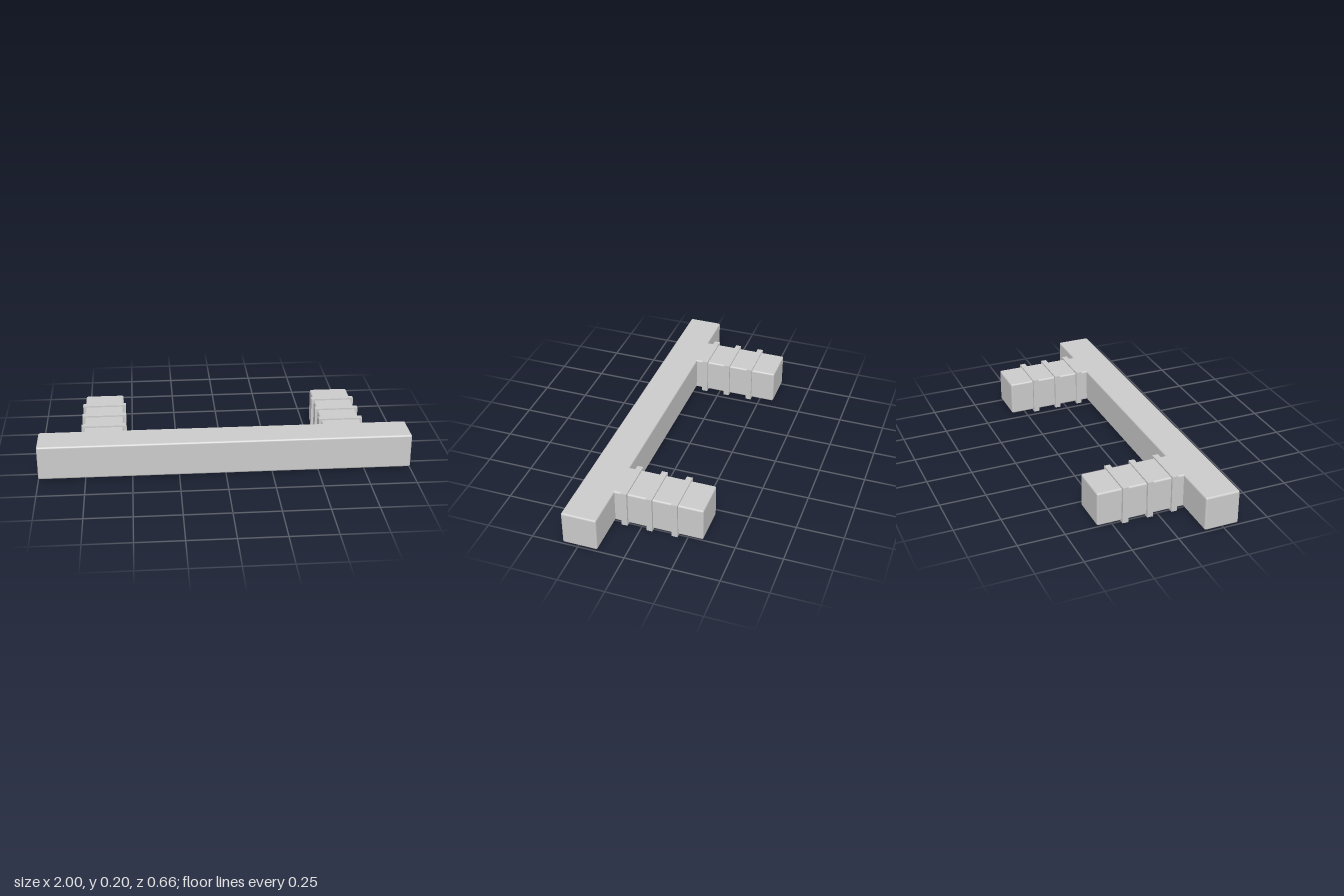
import * as THREE from 'three';
import { RoundedBoxGeometry } from 'three/addons/geometries/RoundedBoxGeometry.js';

const material = new THREE.MeshStandardMaterial({ color: 0xcccccc });
const MID_Y = 0.1025;

function addPart(parent, name, geometry, x, z) {
  const mesh = new THREE.Mesh(geometry, material);
  mesh.name = name;
  mesh.position.set(x, MID_Y, z);
  parent.add(mesh);
}

export function createModel() {
  const model = new THREE.Group();
  model.name = 'barHandle';

  // long grip bar across the front
  addPart(model, 'gripBar', new RoundedBoxGeometry(2, 0.188, 0.188, 4, 0.01), 0, 0.238);

  // two mounting posts, each wrapped by three raised square bands
  const postGeometry = new RoundedBoxGeometry(0.213, 0.188, 0.512, 4, 0.01);
  const bandGeometry = new THREE.BoxGeometry(0.24, 0.205, 0.032);
  for (const [side, label] of [[1, 'left'], [-1, 'right']]) {
    const post = new THREE.Group();
    post.name = label + 'Post';
    post.position.x = side * 0.65;
    addPart(post, 'postBody', postGeometry, 0, -0.076);
    for (let i = 0; i < 3; i++) addPart(post, 'band' + (i + 1), bandGeometry, 0, 0.089 - i * 0.136);
    model.add(post);
  }
  return model;
}
